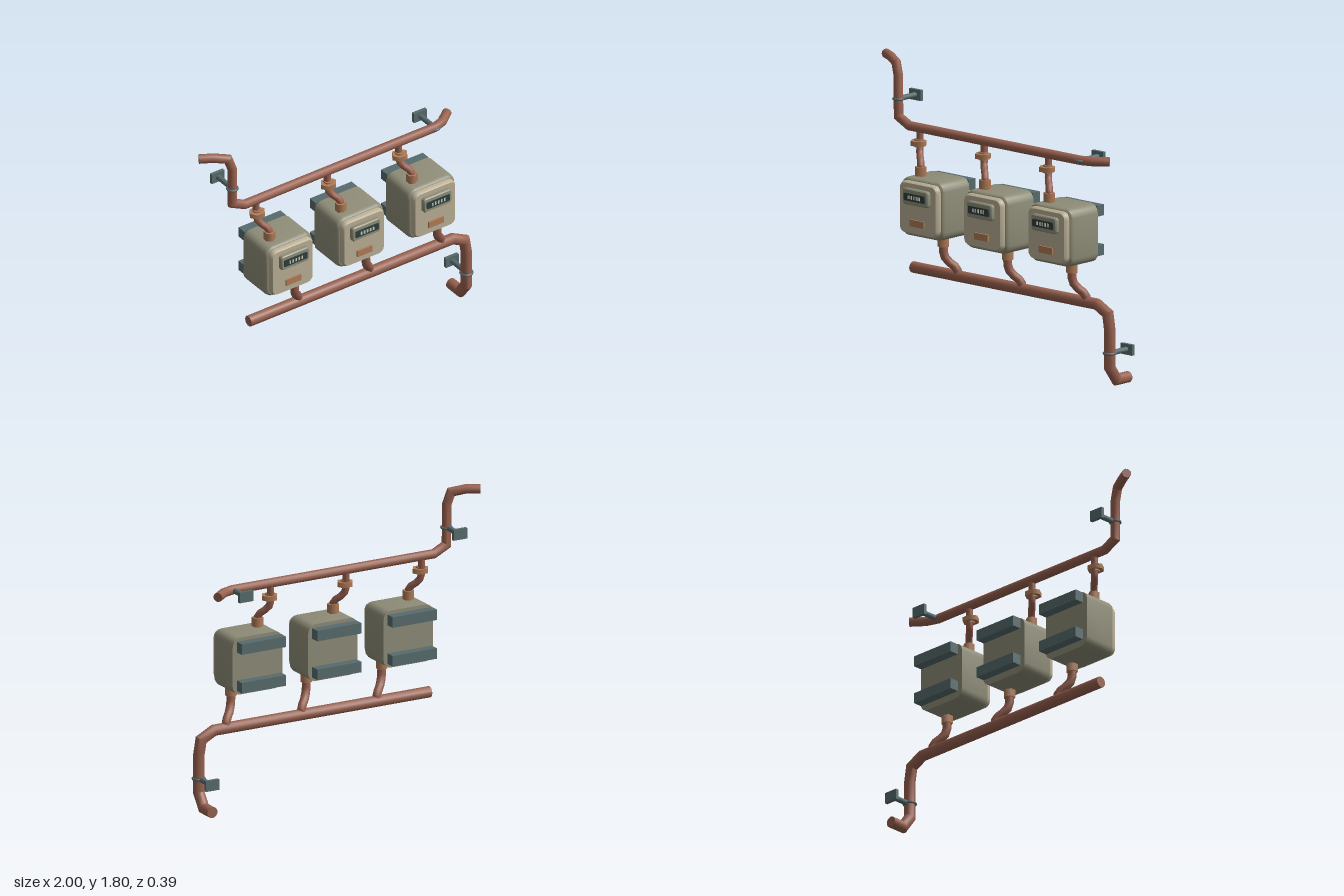
import * as THREE from 'three';
import { toCreasedNormals } from 'three/addons/utils/BufferGeometryUtils.js';

const V = (x, y, z) => new THREE.Vector3(x, y, z);
const mat = (name, color) => {
  const m = new THREE.MeshStandardMaterial({ color });
  m.name = name;
  return m;
};

// Closed skin over a list of equal-length vertex loops
function skin(rings) {
  const n = rings[0].length, pos = [], idx = [];
  rings.forEach(r => r.forEach(p => pos.push(p.x, p.y, p.z)));
  for (let i = 0; i < rings.length - 1; i++)
    for (let j = 0; j < n; j++) {
      const a = i * n + j, b = i * n + (j + 1) % n;
      idx.push(a, b, b + n, a, b + n, a + n);
    }
  const last = (rings.length - 1) * n;
  [0, last].forEach((base, end) => {
    const c = V(0, 0, 0);
    rings[end ? rings.length - 1 : 0].forEach(p => c.addScaledVector(p, 1 / n));
    const ci = pos.length / 3;
    pos.push(c.x, c.y, c.z);
    for (let j = 0; j < n; j++) {
      const a = base + j, b = base + (j + 1) % n;
      if (end) idx.push(ci, a, b); else idx.push(ci, b, a);
    }
  });
  const g = new THREE.BufferGeometry();
  g.setAttribute('position', new THREE.Float32BufferAttribute(pos, 3));
  g.setIndex(idx);
  return toCreasedNormals(g, 0.6);
}

// Round pipe with mitred bends
function pipe(points, r, sides = 14) {
  const P = points.map(p => V(...p));
  const dirs = P.slice(1).map((p, i) => p.clone().sub(P[i]).normalize());
  const t = dirs[0];
  const u = V(0, 0, 1).addScaledVector(t, -t.z).normalize();
  const v = t.clone().cross(u);
  let ring = [];
  for (let j = 0; j < sides; j++) {
    const a = j / sides * Math.PI * 2;
    ring.push(P[0].clone().addScaledVector(u, r * Math.cos(a)).addScaledVector(v, r * Math.sin(a)));
  }
  const rings = [ring];
  for (let i = 1; i < P.length; i++) {
    const d = dirs[i - 1], n = d.clone().add(dirs[i] || d).normalize();
    ring = ring.map(p => p.clone().addScaledVector(d, P[i].clone().sub(p).dot(n) / d.dot(n)));
    rings.push(ring);
  }
  return skin(rings);
}

// Rounded rectangles [width, height, radius, z] joined along z
function roundedLoft(sections, y) {
  return skin(sections.map(([w, h, r, z]) => {
    const loop = [];
    for (let k = 0; k < 4; k++)
      for (let i = 0; i <= 4; i++) {
        const a = (k + i / 4) * Math.PI / 2;
        const sx = k === 0 || k === 3 ? 1 : -1, sy = k < 2 ? 1 : -1;
        loop.push(V(sx * (w / 2 - r) + r * Math.cos(a), y + sy * (h / 2 - r) + r * Math.sin(a), z));
      }
    return loop;
  }));
}

const box = (w, h, d) => new THREE.BoxGeometry(w, h, d);
const hexNut = (r, h) => new THREE.CylinderGeometry(r, r, h, 6).toNonIndexed();

export function createModel() {
  const pipeMat = mat('pipe red brown', 0x98614f);
  const fitting = mat('copper fitting', 0xb07c58);
  const caseMat = mat('case olive grey', 0x8f8d78);
  const panelMat = mat('panel beige', 0xb9af94);
  const steel = mat('bracket slate', 0x586b6d);
  const dark = mat('display dark', 0x2c4040);
  const pale = mat('digit pale', 0xcfccb2);

  const model = new THREE.Group();
  model.name = 'meterBank';
  const add = (parent, name, geo, material, x = 0, y = 0, z = 0) => {
    const m = new THREE.Mesh(geo, material);
    m.name = name;
    m.position.set(x, y, z);
    parent.add(m);
    return m;
  };

  // Supply and return pipes
  const Z = -0.022;
  add(model, 'upperPipe', pipe([
    [-0.986, 1.775, -0.112], [-0.91, 1.775, -0.07], [-0.828, 1.757, -0.03], [-0.802, 1.68, Z],
    [-0.8, 1.425, Z], [-0.71, 1.38, Z], [0.71, 1.38, Z], [0.785, 1.38, -0.047], [0.865, 1.38, -0.11]
  ], 0.029), pipeMat);
  add(model, 'lowerPipe', pipe([
    [-0.68, 0.505, Z], [0.842, 0.505, Z], [0.932, 0.458, Z], [0.948, 0.36, Z],
    [0.948, 0.125, Z], [0.948, 0.042, -0.083], [0.948, 0.042, -0.187]
  ], 0.035), pipeMat);

  // Wall clamps
  [[-0.8, 1.535, 0.031], [0.71, 1.38, 0.031], [0.948, 0.215, 0.036]].forEach(([x, y, r]) => {
    const g = new THREE.Group();
    g.name = 'wallClamp';
    g.position.set(x, y, 0);
    model.add(g);
    add(g, 'clampPlate', box(0.095, 0.067, 0.022), steel, 0, 0, -0.18);
    const rod = new THREE.CylinderGeometry(0.017, 0.017, 0.135, 12).rotateX(Math.PI / 2);
    add(g, 'clampRod', rod, steel, 0, 0, -0.105);
    add(g, 'clampRing', new THREE.TorusGeometry(r, 0.008, 8, 20).rotateX(Math.PI / 2), steel, 0, 0, Z);
  });

  // Three meters with their connections
  const cy = 0.919;
  [-0.476, 0.056, 0.588].forEach(x => {
    const g = new THREE.Group();
    g.name = 'meter';
    g.position.x = x;
    model.add(g);

    // Case and front panel
    add(g, 'case', roundedLoft([
      [0.35, 0.363, 0.055, -0.115], [0.35, 0.363, 0.055, 0.095],
      [0.343, 0.356, 0.054, 0.112], [0.325, 0.338, 0.05, 0.121]
    ], cy), caseMat);
    add(g, 'frontPanel', roundedLoft([
      [0.316, 0.326, 0.046, 0.119], [0.316, 0.326, 0.046, 0.142], [0.296, 0.308, 0.038, 0.157]
    ], cy + 0.003), panelMat);

    // Counter display and label
    add(g, 'displayFrame', roundedLoft([
      [0.208, 0.1, 0.018, 0.155], [0.208, 0.1, 0.018, 0.178], [0.196, 0.088, 0.014, 0.185]
    ], 0.998), caseMat);
    add(g, 'displayWindow', roundedLoft([
      [0.172, 0.046, 0.008, 0.184], [0.172, 0.046, 0.008, 0.191]
    ], 0.998), dark);
    for (let i = 0; i < 5; i++)
      add(g, 'digit', box(0.011, 0.022, 0.004), pale, -0.044 + i * 0.022, 0.998, 0.192);
    add(g, 'label', box(0.112, 0.042, 0.012), fitting, 0, 0.833, 0.162);

    // Rear mounting rails
    [1.05, 0.803].forEach(y => add(g, 'mountingRail', box(0.312, 0.067, 0.062), steel, 0, y, -0.162));

    // Inlet with valve
    add(g, 'inletPipe', pipe([
      [-0.147, 1.38, Z], [-0.147, 1.262, Z], [-0.141, 1.232, -0.014],
      [-0.122, 1.205, 0.003], [-0.1, 1.185, 0.022], [-0.089, 1.16, 0.034], [-0.088, 1.12, 0.035]
    ], 0.022), pipeMat);
    add(g, 'inletNut', hexNut(0.036, 0.062), fitting, -0.088, 1.126, 0.035);
    add(g, 'valveNut', hexNut(0.03, 0.05), fitting, -0.147, 1.288, Z + 0.008);
    const handle = hexNut(0.054, 0.03).rotateY(Math.PI / 2).scale(1, 1, 0.9);
    add(g, 'valveFlange', handle, fitting, -0.147, 1.288, -0.01);

    // Outlet
    add(g, 'outletNut', hexNut(0.036, 0.056), fitting, 0.099, 0.716, 0.035);
    add(g, 'outletPipe', pipe([
      [0.099, 0.71, 0.035], [0.1, 0.655, 0.035], [0.108, 0.62, 0.028],
      [0.128, 0.588, 0.009], [0.152, 0.565, -0.01], [0.165, 0.54, -0.02], [0.168, 0.505, Z]
    ], 0.027), pipeMat);
  });
  return model;
}
